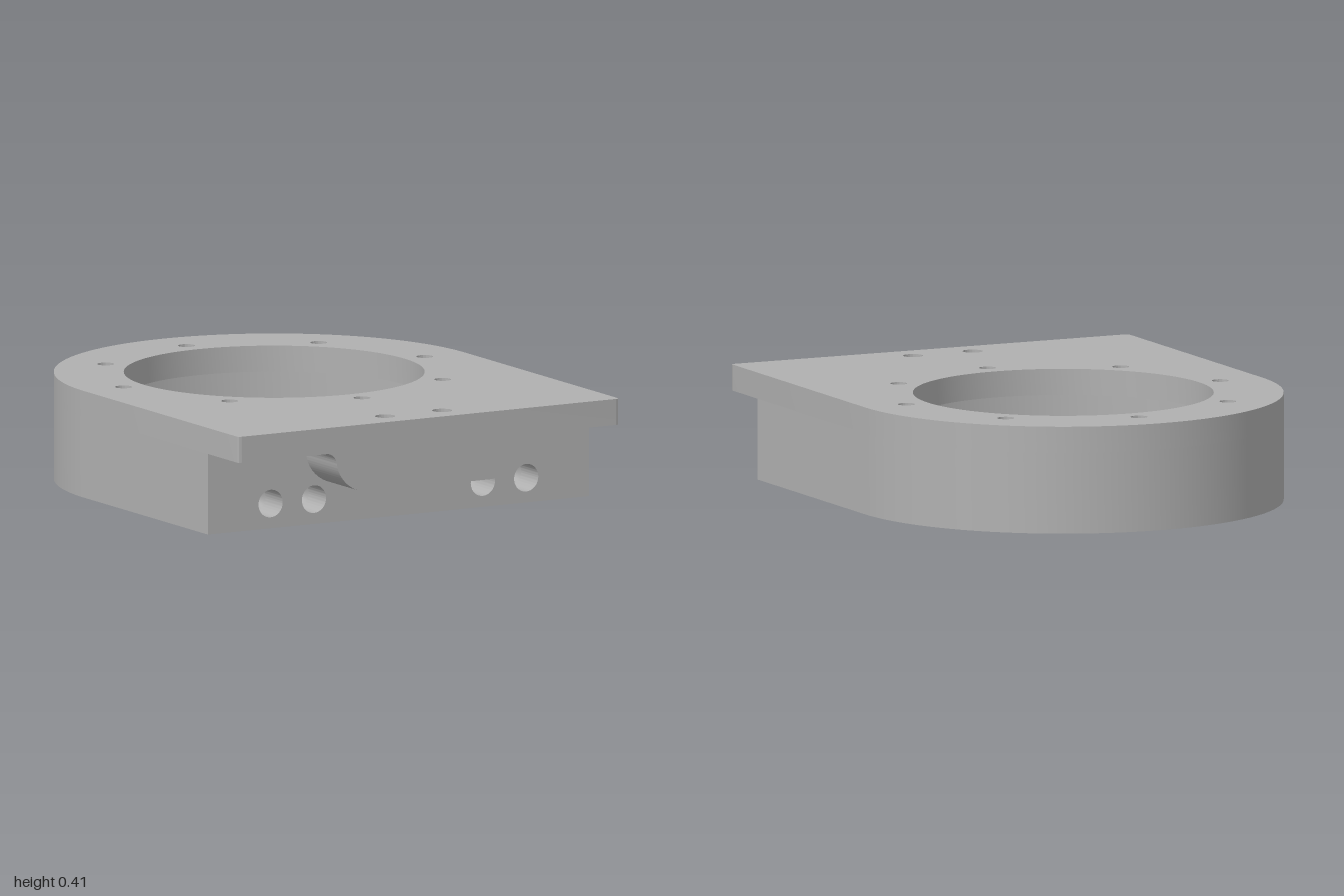
import * as THREE from 'three';
import { toCreasedNormals } from 'three/addons/utils/BufferGeometryUtils.js';

const HALF = 0.835;      // half width and outer arc radius
const CZ = -0.165;       // z of the ring centre
const TOP = 0.41, LEDGE = 0.31, TAB_LOW = 0.15;
const LOWER_FRONT = 0.77, SPLIT = 0.6;

const circle = (x, y, r) => new THREE.Path().absarc(x, y, r, 0, Math.PI * 2, false);

// Extrude a shape with smooth curves and sharp edges
function extrude(shape, depth) {
  const geo = new THREE.ExtrudeGeometry(shape, { depth, bevelEnabled: false, curveSegments: 64 });
  return toCreasedNormals(geo, 0.5);
}

// Extrude a plan (shape x = x, shape y = z) downwards from yTop to yLow
function slab(shape, yLow, yTop) {
  return extrude(shape, yTop - yLow).rotateX(Math.PI / 2).translate(0, yTop, 0);
}

// Plan rounded at the back and square at the front
function archPlan(zFront, fillet) {
  const s = new THREE.Shape();
  s.moveTo(HALF, zFront - fillet);
  s.lineTo(HALF, CZ);
  s.absarc(0, CZ, HALF, 0, -Math.PI, true);
  s.lineTo(-HALF, zFront - fillet);
  if (fillet) {
    s.quadraticCurveTo(-HALF, zFront, -HALF + fillet, zFront);
    s.lineTo(HALF - fillet, zFront);
    s.quadraticCurveTo(HALF, zFront, HALF, zFront - fillet);
  }
  return s;
}

function rectangle(x0, y0, x1, y1) {
  const s = new THREE.Shape();
  s.moveTo(x0, y0).lineTo(x1, y0).lineTo(x1, y1).lineTo(x0, y1).closePath();
  return s;
}

export function createModel() {
  const group = new THREE.Group();
  group.name = 'mountingBracket';
  const grey = new THREE.MeshStandardMaterial({ color: 0xb0b0b0 });
  grey.name = 'grey metal';
  const add = (name, geo) => {
    const mesh = new THREE.Mesh(geo, grey);
    mesh.name = name;
    group.add(mesh);
    return mesh;
  };

  const pinHoles = [-0.125, 0.125].map(x => [x, 0.885, 0.038]);

  // Top plate with the opening, bolt circle and pin holes
  const plate = archPlan(1, 0.015);
  plate.holes.push(circle(0, CZ, 0.57));
  for (let i = 0; i < 8; i++) {
    const a = i * Math.PI / 4;
    plate.holes.push(circle(0.66 * Math.cos(a), CZ + 0.66 * Math.sin(a), 0.032));
  }
  pinHoles.forEach(h => plate.holes.push(circle(...h)));
  add('topPlate', slab(plate, LEDGE, TOP));

  // Lower body with the wider bore
  const body = archPlan(SPLIT, 0);
  body.holes.push(circle(0, CZ, 0.76));
  add('lowerBody', slab(body, 0, LEDGE));

  // Front wall of the lower body with four drilled holes
  const wall = rectangle(-HALF, 0, HALF, LEDGE);
  const drillX = [-0.56, -0.37, 0.37, 0.56], drillY = 0.095, drillR = 0.053;
  drillX.forEach(x => wall.holes.push(circle(x, drillY, drillR)));
  add('frontWall', extrude(wall, LOWER_FRONT - SPLIT).translate(0, 0, SPLIT));

  // Conical bottoms of the drilled holes, facing the front
  const profile = [new THREE.Vector2(drillR, 0.035), new THREE.Vector2(0, 0)];
  const cone = new THREE.LatheGeometry(profile, 48).rotateX(Math.PI / 2);
  drillX.forEach(x => add('drillTip', cone).position.set(x, drillY, 0.605));

  // Front tab: middle block with the pin holes continued through it
  const tabHalf = 0.26;
  const tab = rectangle(-tabHalf, LOWER_FRONT, tabHalf, 1);
  pinHoles.forEach(h => tab.holes.push(circle(...h)));
  add('tabMiddle', slab(tab, TAB_LOW, LEDGE));

  // Curved flanks of the tab
  for (const side of [-1, 1]) {
    const s = new THREE.Shape();
    s.moveTo(side * tabHalf, LEDGE);
    s.lineTo(side * tabHalf, TAB_LOW);
    s.bezierCurveTo(side * 0.335, TAB_LOW, side * 0.395, 0.205, side * 0.403, 0.265);
    s.bezierCurveTo(side * 0.407, 0.293, side * 0.425, LEDGE, side * 0.45, LEDGE);
    s.closePath();
    add(side > 0 ? 'tabFlankLeft' : 'tabFlankRight',
      extrude(s, 1 - LOWER_FRONT).translate(0, 0, LOWER_FRONT));
  }

  return group;
}
